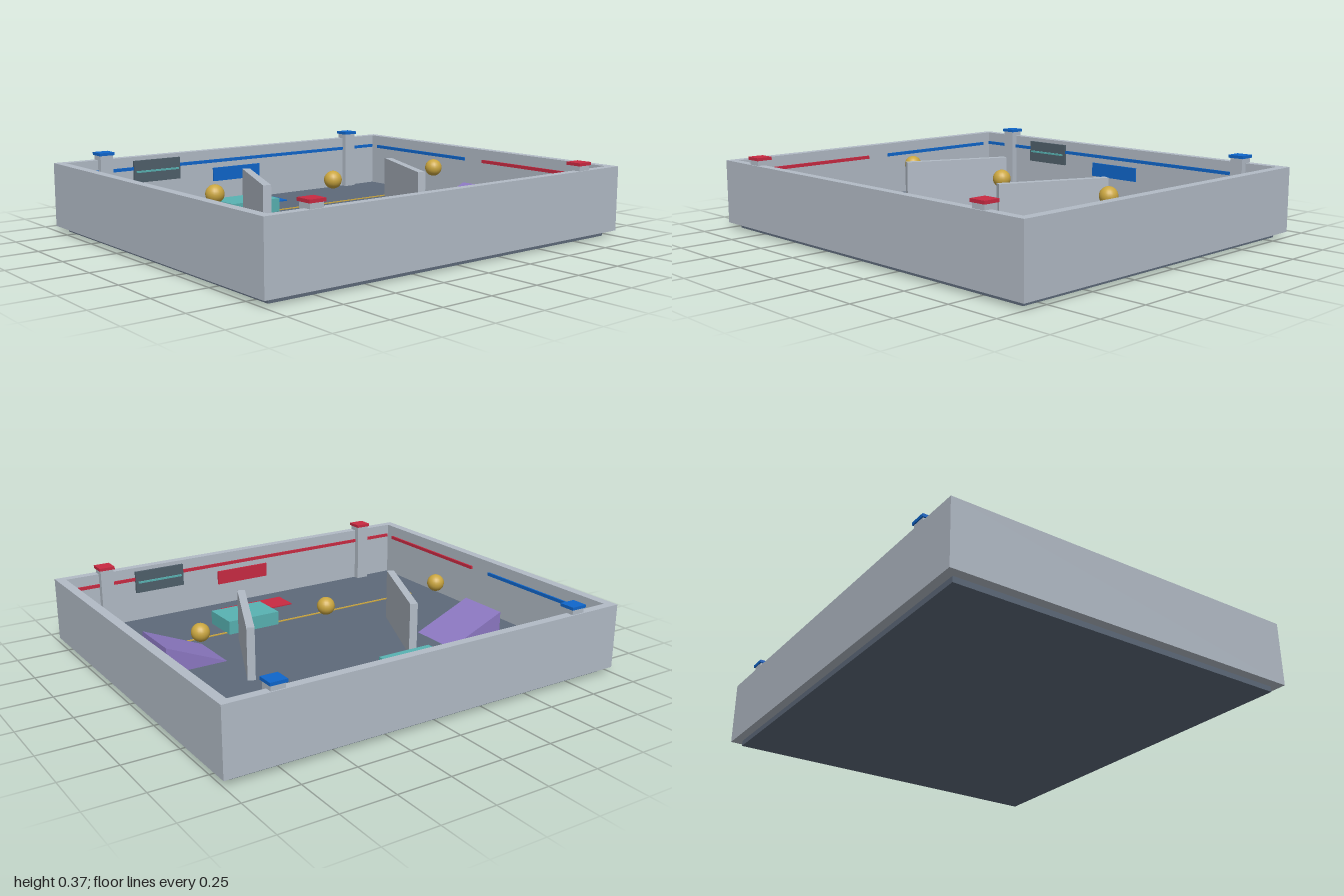
import * as THREE from 'three';

const mat = (name, color) => {
  const m = new THREE.MeshStandardMaterial({ color });
  m.name = name;
  return m;
};

export function createModel() {
  const wallGrey = mat('wall grey', 0xb2bbc6);
  const floorSlate = mat('floor slate', 0x5d6979);
  const screenDark = mat('screen dark', 0x4f5f6a);
  const teal = mat('teal', 0x58b2b2);
  const purple = mat('purple', 0x8c78c2);
  const gold = mat('gold', 0xcaa640);
  const red = mat('team red', 0xc92a42);
  const blue = mat('team blue', 0x0f66cb);

  const FLOOR = 0.055;
  const model = new THREE.Group();
  model.name = 'arena';

  const add = (parent, name, geometry, material, x = 0, y = 0, z = 0) => {
    const mesh = new THREE.Mesh(geometry, material);
    mesh.name = name;
    mesh.position.set(x, y, z);
    parent.add(mesh);
    return mesh;
  };
  // Box given by its centre in x and z and its bottom in y
  const box = (parent, name, material, w, h, d, x, y, z) =>
    add(parent, name, new THREE.BoxGeometry(w, h, d), material, x, y + h / 2, z);

  // Floor slab, slightly inside the outer walls
  box(model, 'floor', floorSlate, 1.912, FLOOR, 1.652, 0, 0, 0);

  // Perimeter wall: rectangular frame extruded upwards
  const rect = (P, w, d) => {
    const p = new P();
    p.moveTo(-w, -d);
    p.lineTo(w, -d);
    p.lineTo(w, d);
    p.lineTo(-w, d);
    p.closePath();
    return p;
  };
  const frame = rect(THREE.Shape, 1, 0.867);
  frame.holes.push(rect(THREE.Path, 0.956, 0.826));
  const frameGeo = new THREE.ExtrudeGeometry(frame, { depth: 0.303, bevelEnabled: false });
  frameGeo.rotateX(-Math.PI / 2);
  add(model, 'perimeterWall', frameGeo, wallGrey, 0, 0.026, 0);

  // Ramp wedge, rising towards the side wall
  const wedge = new THREE.Shape();
  wedge.moveTo(0.482, FLOOR);
  wedge.lineTo(0.78, FLOOR);
  wedge.lineTo(0.78, 0.18);
  wedge.closePath();
  const wedgeGeo = new THREE.ExtrudeGeometry(wedge, { depth: 0.257, bevelEnabled: false });

  // One team's half; the other half is the same turned by 180 degrees
  const half = (name, team) => {
    const g = new THREE.Group();
    g.name = name;
    model.add(g);

    // Corner pillars with coloured caps
    for (const s of [-1, 1]) {
      box(g, 'pillar', wallGrey, 0.065, 0.297, 0.065, s * 0.76, FLOOR, 0.828);
      box(g, 'pillarCap', team, 0.078, 0.014, 0.076, s * 0.76, 0.352, 0.828);
      box(g, 'sideStripe', team, 0.009, 0.016, 0.7, s * 0.941, 0.263, 0.414);
    }
    box(g, 'endStripe', team, 1.9, 0.016, 0.008, 0, 0.263, 0.823);

    // Goal plate on the wall and pad on the floor
    box(g, 'goalPlate', team, 0.29, 0.07, 0.009, 0, 0.165, 0.82);
    box(g, 'startPad', team, 0.352, 0.006, 0.13, 0, FLOOR, 0.673);

    // Wall screen with a thin teal bar
    box(g, 'screen', screenDark, 0.26, 0.11, 0.012, 0.475, 0.2, 0.82);
    box(g, 'screenBar', teal, 0.235, 0.009, 0.009, 0.475, 0.25, 0.812);

    // Floor line, obstacles and ramp
    box(g, 'floorLine', gold, 1.635, 0.004, 0.011, 0, FLOOR, 0.411);
    box(g, 'block', teal, 0.277, 0.067, 0.19, 0.174, FLOOR, 0.478);
    add(g, 'ramp', wedgeGeo, purple, 0, 0, 0.088);
    const barrier = box(g, 'barrier', wallGrey, 0.518, 0.247, 0.036, 0.391, FLOOR, 0.066);
    barrier.rotation.y = THREE.MathUtils.degToRad(66);
    return g;
  };
  half('frontHalf', red);
  half('backHalf', blue).rotation.y = Math.PI;

  // Floating balls along the centre line
  const ballGeo = new THREE.SphereGeometry(0.042, 20, 14);
  for (const x of [-0.652, 0, 0.652]) add(model, 'ball', ballGeo, gold, x, 0.258, 0);

  return model;
}
